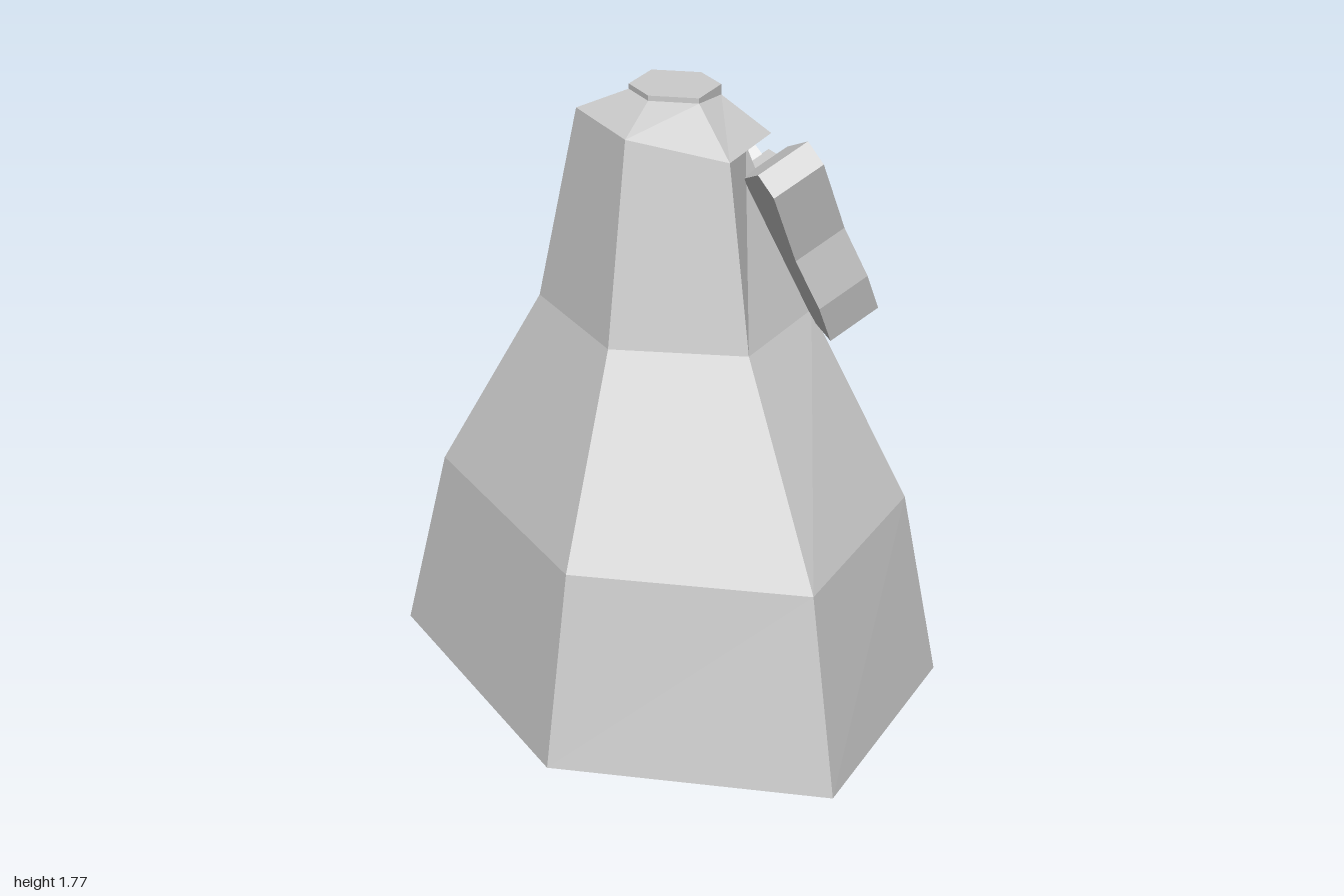
import * as THREE from 'three';

// One hexagonal ring, drawn with the two +x corners doubled so they can split into an outer and an inner point.
function ring(x, yTip, ySide, zc, front, side, inner = [x, ySide], outer = [x, ySide]) {
  return [
    [0, yTip, zc + front],
    [outer[0], outer[1], zc + side],
    [inner[0], inner[1], zc + side],
    [inner[0], inner[1], zc - side],
    [outer[0], outer[1], zc - side],
    [0, yTip, zc - front],
    [-x, ySide, zc - side],
    [-x, ySide, zc + side],
  ].map((p) => new THREE.Vector3(...p));
}

// Flat-faced skin through the rings, closed at both ends where asked.
function loft(rings, closeBottom, closeTop) {
  const pos = [];
  const tri = (a, b, c) => {
    if (new THREE.Triangle(a, b, c).getArea() > 1e-6) {
      for (const p of [a, b, c]) pos.push(p.x, p.y, p.z);
    }
  };
  const n = rings[0].length;
  for (let k = 0; k < rings.length - 1; k++) {
    const lo = rings[k], hi = rings[k + 1];
    for (let i = 0; i < n; i++) {
      const j = (i + 1) % n;
      tri(lo[i], lo[j], hi[j]);
      tri(lo[i], hi[j], hi[i]);
    }
  }
  const last = rings[rings.length - 1];
  for (let i = 1; i < n - 1; i++) {
    if (closeBottom) tri(rings[0][0], rings[0][i + 1], rings[0][i]);
    if (closeTop) tri(last[0], last[i], last[i + 1]);
  }
  const g = new THREE.BufferGeometry();
  g.setAttribute('position', new THREE.Float32BufferAttribute(pos, 3));
  g.computeVertexNormals();
  return g;
}

export function createModel() {
  const model = new THREE.Group();
  model.name = 'wrappedBundle';
  const grey = new THREE.MeshStandardMaterial({ color: 0xcccccc, flatShading: true });
  grey.name = 'light grey';
  const add = (parent, geometry, name) => {
    const m = new THREE.Mesh(geometry, grey);
    m.name = name;
    parent.add(m);
    return m;
  };

  // Tapered body, dented at the top on the +x side
  const dent = [0.14, 1.62];
  const neck = ring(0.23, 1.64, 1.69, 0.045, 0.325, 0.155, dent, dent);
  add(model, loft([
    ring(0.63, 0, 0, 0, 1, 0.5),
    ring(0.54, 0.56, 0.56, 0.025, 0.845, 0.425),
    ring(0.32, 1.12, 1.12, 0.045, 0.445, 0.225),
    neck,
  ], true, false), 'body');

  // Sloped crown whose +x corners overhang the dent
  add(model, loft([
    neck,
    ring(0.23, 1.64, 1.69, 0.045, 0.325, 0.155, dent, [0.22, 1.64]),
    ring(0.113, 1.755, 1.755, 0.045, 0.145, 0.06, [0.113, 1.74], [0.113, 1.74]),
    ring(0.113, 1.77, 1.77, 0.045, 0.145, 0.06),
  ], false, true), 'crown');

  // Bow leaning against the dent: local x runs along z, local z points into the body
  const bow = new THREE.Group();
  bow.name = 'bow';
  const tilt = new THREE.Matrix4().makeBasis(
    new THREE.Vector3(0, 0, 1),
    new THREE.Vector3(-0.43, 0.903, 0),
    new THREE.Vector3(-0.903, -0.43, 0),
  );
  bow.quaternion.setFromRotationMatrix(tilt);
  bow.position.set(0.361, 1.4, 0.04);
  model.add(bow);

  // Both loops and tails share one mirrored outline
  const half = [
    [0.06, 0.095], [0.165, 0.215], [0.345, 0.3], [0.385, 0.235],
    [0.325, -0.01], [0.335, -0.18], [0.305, -0.31], [0.18, -0.22], [0.06, -0.095],
  ];
  const outline = [...half, ...half.map(([u, v]) => [-u, v]).reverse()];
  const shape = new THREE.Shape(outline.map(([u, v]) => new THREE.Vector2(u, v)));
  add(bow, new THREE.ExtrudeGeometry(shape, { depth: 0.17, bevelEnabled: false }), 'bowLoops');

  // Square knot
  add(bow, new THREE.BoxGeometry(0.14, 0.205, 0.17), 'knot').position.z = 0.06;

  return model;
}
